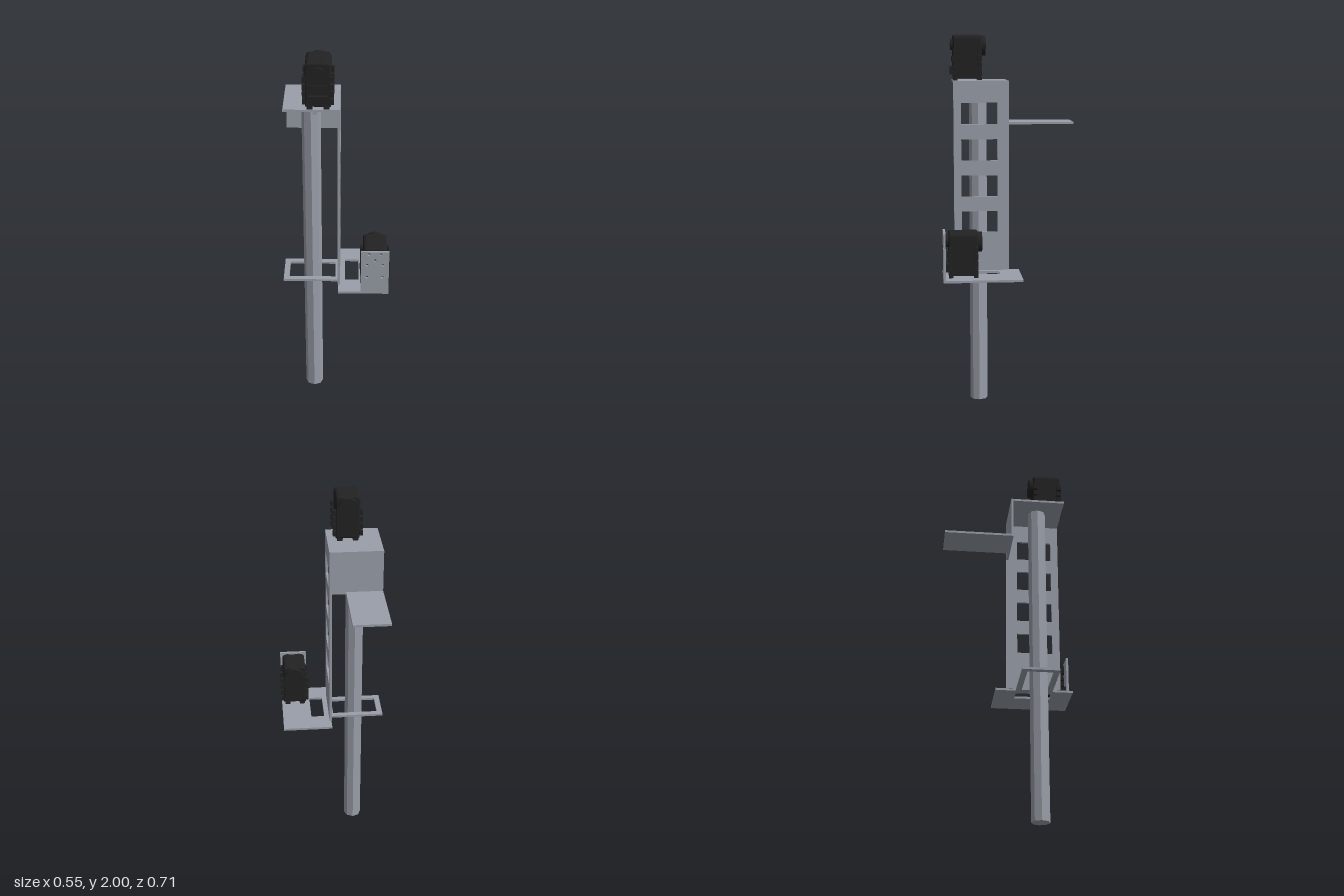
import * as THREE from 'three';

const metal = new THREE.MeshStandardMaterial({ color: 0x9a9fa9 });
const black = new THREE.MeshStandardMaterial({ color: 0x222222 });
const T = 0.012; // sheet thickness

function add(parent, name, geometry, material, x = 0, y = 0, z = 0) {
  const mesh = new THREE.Mesh(geometry, material);
  mesh.name = name;
  mesh.position.set(x, y, z);
  parent.add(mesh);
  return mesh;
}

// Box given by its minimum and maximum corners
function box(parent, name, material, [x0, x1], [y0, y1], [z0, z1]) {
  return add(parent, name, new THREE.BoxGeometry(x1 - x0, y1 - y0, z1 - z0), material,
    (x0 + x1) / 2, (y0 + y1) / 2, (z0 + z1) / 2);
}

function rectPath(path, u0, u1, v0, v1) {
  path.moveTo(u0, v0);
  path.lineTo(u1, v0);
  path.lineTo(u1, v1);
  path.lineTo(u0, v1);
  path.closePath();
  return path;
}

// Sheet with rectangular [u0, u1, v0, v1] and round [u, v, r] holes
function sheet(outer, rects = [], rounds = []) {
  const shape = rectPath(new THREE.Shape(), ...outer);
  for (const r of rects) shape.holes.push(rectPath(new THREE.Path(), ...r));
  for (const [u, v, r] of rounds) {
    const hole = new THREE.Path();
    hole.absarc(u, v, r, 0, Math.PI * 2, true);
    shape.holes.push(hole);
  }
  return new THREE.ExtrudeGeometry(shape, { depth: T, bevelEnabled: false, curveSegments: 8 });
}

// Disc with its axis along z
function disc(parent, name, material, r, z0, z1, x, y, sides = 32) {
  const g = new THREE.CylinderGeometry(r, r, z1 - z0, sides).rotateX(Math.PI / 2);
  return add(parent, name, g, material, x, y, (z0 + z1) / 2);
}

// Servo standing on y = 0, centred on x = 0, output horn facing -z
function servo(name) {
  const g = new THREE.Group();
  g.name = name;

  // Casing with rounded top corners
  const s = new THREE.Shape();
  const w = 0.061, h = 0.235, r = 0.022;
  s.moveTo(-w, 0.012);
  s.lineTo(w, 0.012);
  s.lineTo(w, h - r);
  s.quadraticCurveTo(w, h, w - r, h);
  s.lineTo(-w + r, h);
  s.quadraticCurveTo(-w, h, -w, h - r);
  s.closePath();
  const bevel = 0.005;
  const casing = new THREE.ExtrudeGeometry(s, {
    depth: 0.14, bevelThickness: bevel, bevelSize: bevel, bevelOffset: -bevel, bevelSegments: 1, curveSegments: 4,
  });
  add(g, 'casing', casing, black, 0, 0, -0.07);

  // Output horn at the back, idler boss and connector cover at the front
  disc(g, 'outputHorn', black, 0.052, -0.097, -0.074, 0, 0.18);
  disc(g, 'hornScrew', black, 0.01, -0.101, -0.096, 0, 0.18, 12);
  disc(g, 'idlerBoss', black, 0.03, 0.074, 0.087, 0, 0.185);
  disc(g, 'idlerScrew', black, 0.01, 0.086, 0.09, 0, 0.185, 12);
  box(g, 'connectorCover', black, [-0.047, 0.047], [0.03, 0.072], [0.074, 0.091]);
  box(g, 'frontRib', black, [-0.045, 0.045], [0.095, 0.125], [0.074, 0.082]);

  // Mounting lugs along the four upright edges, and feet
  for (const sx of [-1, 1]) {
    for (const z of [-0.065, 0.064]) {
      for (let i = 0; i < 4; i++) {
        box(g, 'mountingLug', black, [sx * 0.067 - 0.009, sx * 0.067 + 0.009],
          [0.025 + i * 0.037, 0.053 + i * 0.037], [z - 0.011, z + 0.011]);
      }
      box(g, 'foot', black, [sx * 0.04 - 0.014, sx * 0.04 + 0.014], [0, 0.014], [z - 0.011, z + 0.011]);
    }
  }
  return g;
}

export function createModel() {
  const model = new THREE.Group();
  model.name = 'servoStand';

  // Eight-sided pole with a bolt near the top
  const pole = new THREE.CylinderGeometry(0.0475, 0.0475, 1.752, 8).toNonIndexed();
  pole.computeVertexNormals();
  add(model, 'pole', pole, metal, -0.124, 0.876, 0.155);
  disc(model, 'poleBolt', metal, 0.018, 0.15, 0.199, -0.108, 1.71, 16);

  // Top plate, back panel and rear shelf
  box(model, 'topPlate', metal, [-0.255, 0.02], [1.752, 1.764], [0, 0.29]);
  box(model, 'backPanel', metal, [-0.255, 0.02], [1.53, 1.752], [0, T]);
  box(model, 'rearShelf', metal, [-0.255, -0.065], [1.53, 1.542], [-0.355, 0]);

  // Tall side panel with four windows (profile in z, y)
  const windows = [0, 1, 2, 3].map((i) => [0.06, 0.25, 0.965 + i * 0.191, 1.077 + i * 0.191]);
  const side = sheet([0, 0.29, 0.757, 1.752], windows).rotateY(-Math.PI / 2);
  add(model, 'sidePanel', side, metal, 0.02, 0, 0);

  // Lower shelf with a slot, and the loop around the pole (profiles in x, z)
  const shelf = sheet([0.01, 0.272, -0.055, 0.355], [[0.046, 0.117, 0.055, 0.246]]).rotateX(Math.PI / 2);
  add(model, 'lowerShelf', shelf, metal, 0, 0.757, 0);
  const loop = sheet([-0.277, 0.01, 0.052, 0.246], [[-0.248, -0.005, 0.081, 0.217]]).rotateX(Math.PI / 2);
  add(model, 'poleLoop', loop, metal, 0, 0.757, 0);

  // Upright mounting plate with screw holes
  const holes = [[0.17, 0.987], [0.23, 0.987], [0.2, 0.951], [0.16, 0.922], [0.24, 0.922],
    [0.16, 0.848], [0.24, 0.848]].map(([x, y]) => [x, y, 0.007]);
  add(model, 'mountingPlate', sheet([0.128, 0.272, 0.757, 1.002], [], holes), metal, 0, 0, 0.343);

  // The two servos
  const upper = servo('upperServo');
  upper.position.set(-0.085, 1.765, 0.213);
  const lower = servo('lowerServo');
  lower.position.set(0.2, 0.768, 0.252);
  model.add(upper, lower);

  return model;
}
